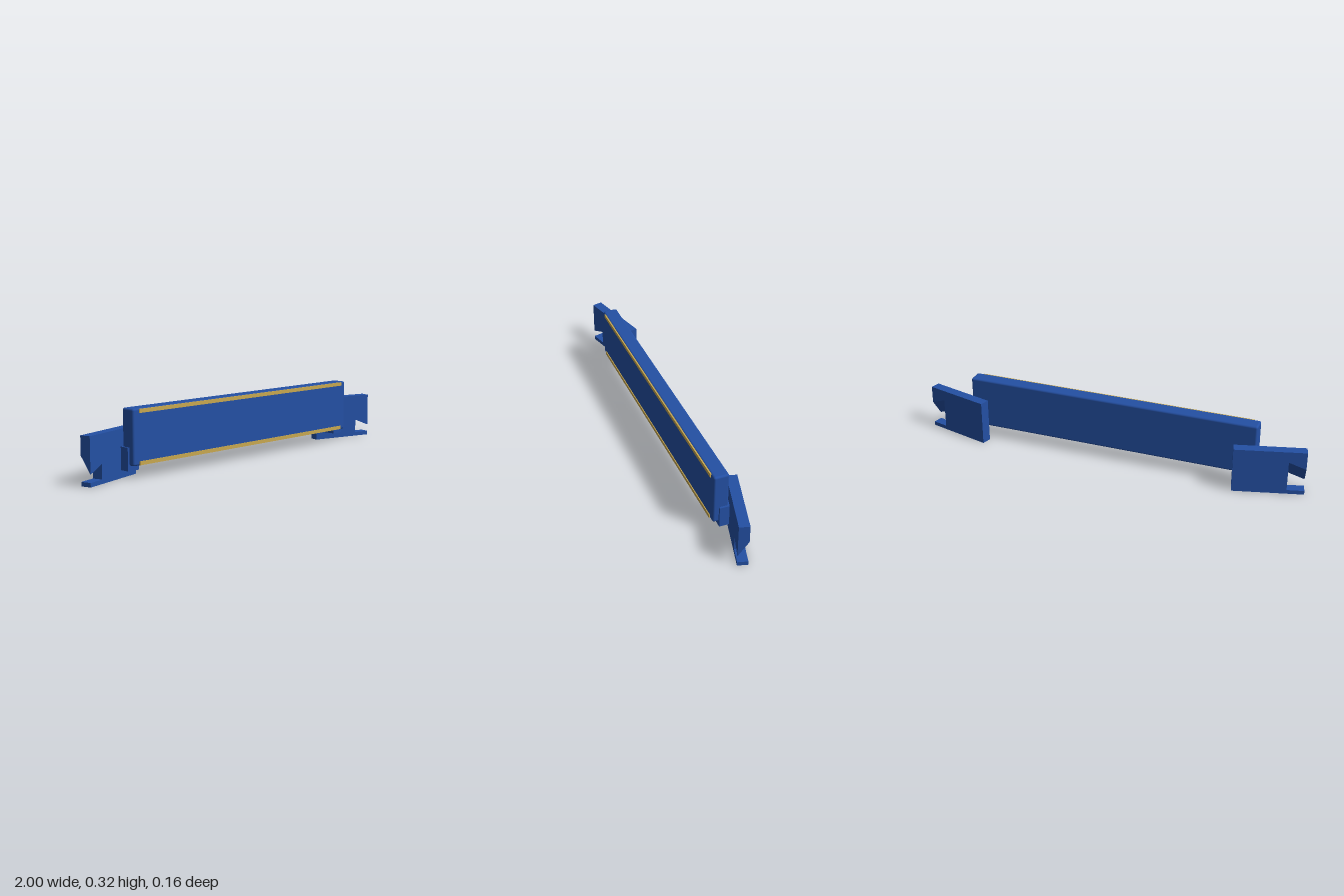
import * as THREE from 'three';
import { RoundedBoxGeometry } from 'three/addons/geometries/RoundedBoxGeometry.js';

const blue = new THREE.MeshStandardMaterial({ color: 0x2450a4 });
blue.name = 'blue';
const gold = new THREE.MeshStandardMaterial({ color: 0xc8a850 });
gold.name = 'gold';

function addMesh(parent, name, geometry, material, x, y, z) {
  const mesh = new THREE.Mesh(geometry, material);
  mesh.name = name;
  mesh.position.set(x, y, z);
  parent.add(mesh);
  return mesh;
}

// Plate with an open notch at its outer end; the notch roof slopes up to the back
function bracketGeometry(side) {
  const half = 0.174, depth = 0.0505, notch = 0.0895;
  const outline = [
    [-half, 0], [half, 0], [half, 0.02], [notch, 0.02],
    [notch, 0.09], [half, 0.056], [half, 0.225], [-half, 0.225],
  ];
  const shape = new THREE.Shape(outline.map(([x, y]) => new THREE.Vector2(side * x, y)));
  const geometry = new THREE.ExtrudeGeometry(shape, { depth, bevelEnabled: false });
  geometry.translate(0, 0, -depth / 2);
  const p = geometry.attributes.position;
  for (let i = 0; i < p.count; i++) {
    const y = p.getY(i);
    if (p.getZ(i) < 0 && y > 0.04 && y < 0.1) p.setY(i, y + 0.08);
  }
  geometry.computeVertexNormals();
  return geometry;
}

export function createModel() {
  const model = new THREE.Group();
  model.name = 'barPanel';

  // Long board with softened edges
  addMesh(model, 'board', new RoundedBoxGeometry(1.51, 0.26, 0.075, 3, 0.01), blue, 0, 0.191, 0.0385);

  // Trim strips along the top and bottom of the front
  for (const [name, y] of [['topTrim', 0.309], ['bottomTrim', 0.072]]) {
    addMesh(model, name, new THREE.BoxGeometry(1.44, 0.018, 0.009), gold, 0, y, 0.0755);
  }

  // Angled end brackets and the blocks joining them to the board
  for (const side of [1, -1]) {
    const label = side > 0 ? 'left' : 'right';
    const bracket = addMesh(model, label + 'Bracket', bracketGeometry(side), blue, side * 0.825, 0, -0.01);
    bracket.rotation.y = -side * THREE.MathUtils.degToRad(15);
    addMesh(model, label + 'Connector', new THREE.BoxGeometry(0.065, 0.108, 0.073), blue, side * 0.7325, 0.091, 0.0115);
  }
  return model;
}
